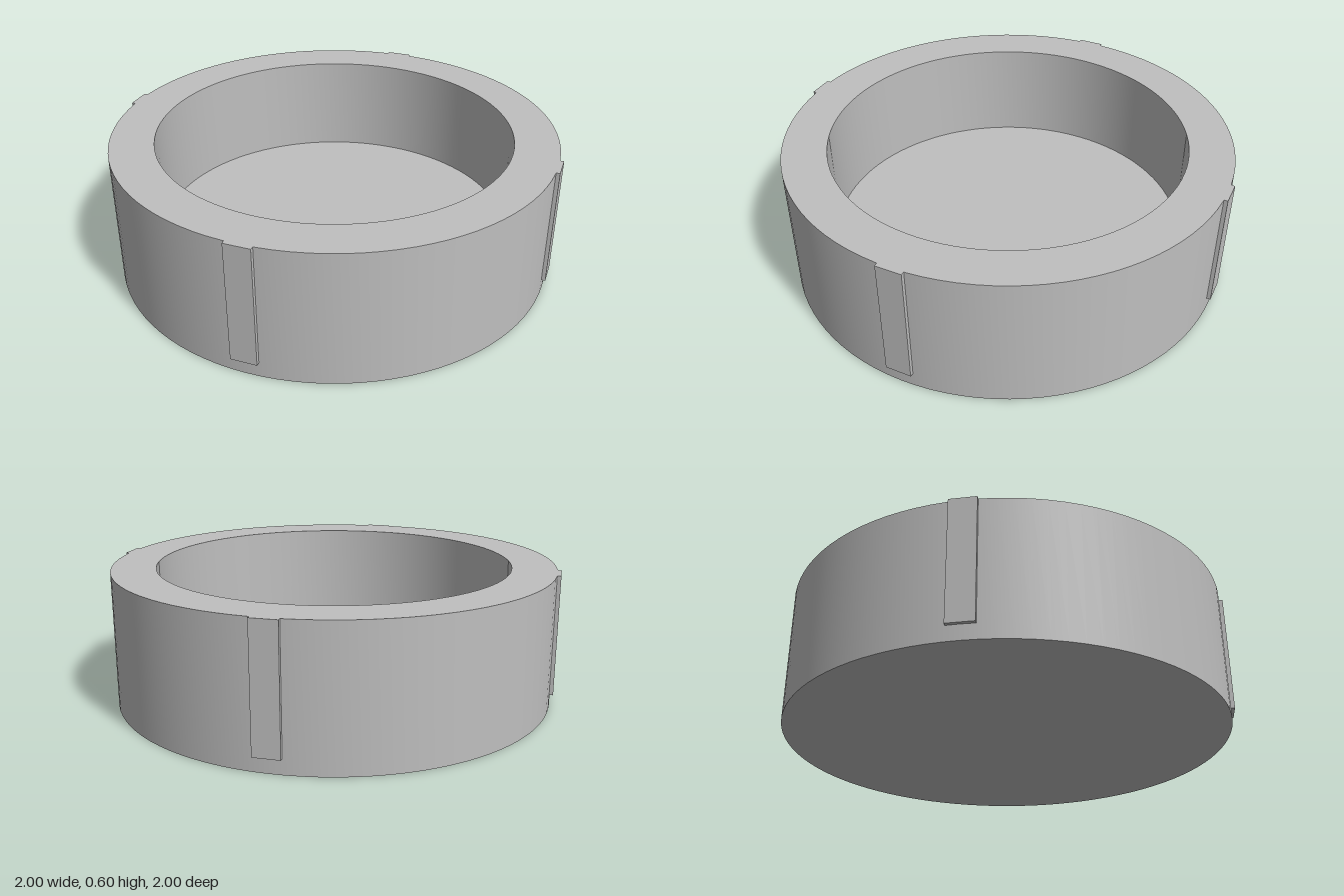
import * as THREE from 'three';
import { toCreasedNormals } from 'three/addons/utils/BufferGeometryUtils.js';

const HEIGHT = 0.597, OUTER = 0.985, INNER = 0.79, FLOOR = 0.142;
const RIB_WIDTH = 0.114, RIB_BOTTOM = 0.065, RIB_DEPTH = 0.04;

export function createModel() {
  const model = new THREE.Group();
  model.name = 'ribbedCap';
  const grey = new THREE.MeshStandardMaterial({ color: 0xbfbfbf });
  grey.name = 'plain grey';

  // Round cup: underside, outer wall, flat rim, inner wall and recessed floor
  const profile = [
    [0, 0], [OUTER, 0], [OUTER, HEIGHT], [INNER, HEIGHT], [INNER, FLOOR], [0, FLOOR],
  ].map(([x, y]) => new THREE.Vector2(x, y));
  const cup = new THREE.Mesh(
    toCreasedNormals(new THREE.LatheGeometry(profile, 96), Math.PI / 6), grey);
  cup.name = 'cup';
  model.add(cup);

  // Four shallow grip ribs, flush with the rim and stopping above the base
  const ribHeight = HEIGHT - RIB_BOTTOM;
  const ribGeometry = new THREE.BoxGeometry(RIB_WIDTH, ribHeight, RIB_DEPTH);
  ribGeometry.translate(0, RIB_BOTTOM + ribHeight / 2, 1 - RIB_DEPTH / 2);
  ['frontRib', 'leftRib', 'backRib', 'rightRib'].forEach((name, i) => {
    const rib = new THREE.Mesh(ribGeometry, grey);
    rib.name = name;
    rib.rotation.y = i * Math.PI / 2;
    model.add(rib);
  });

  return model;
}
